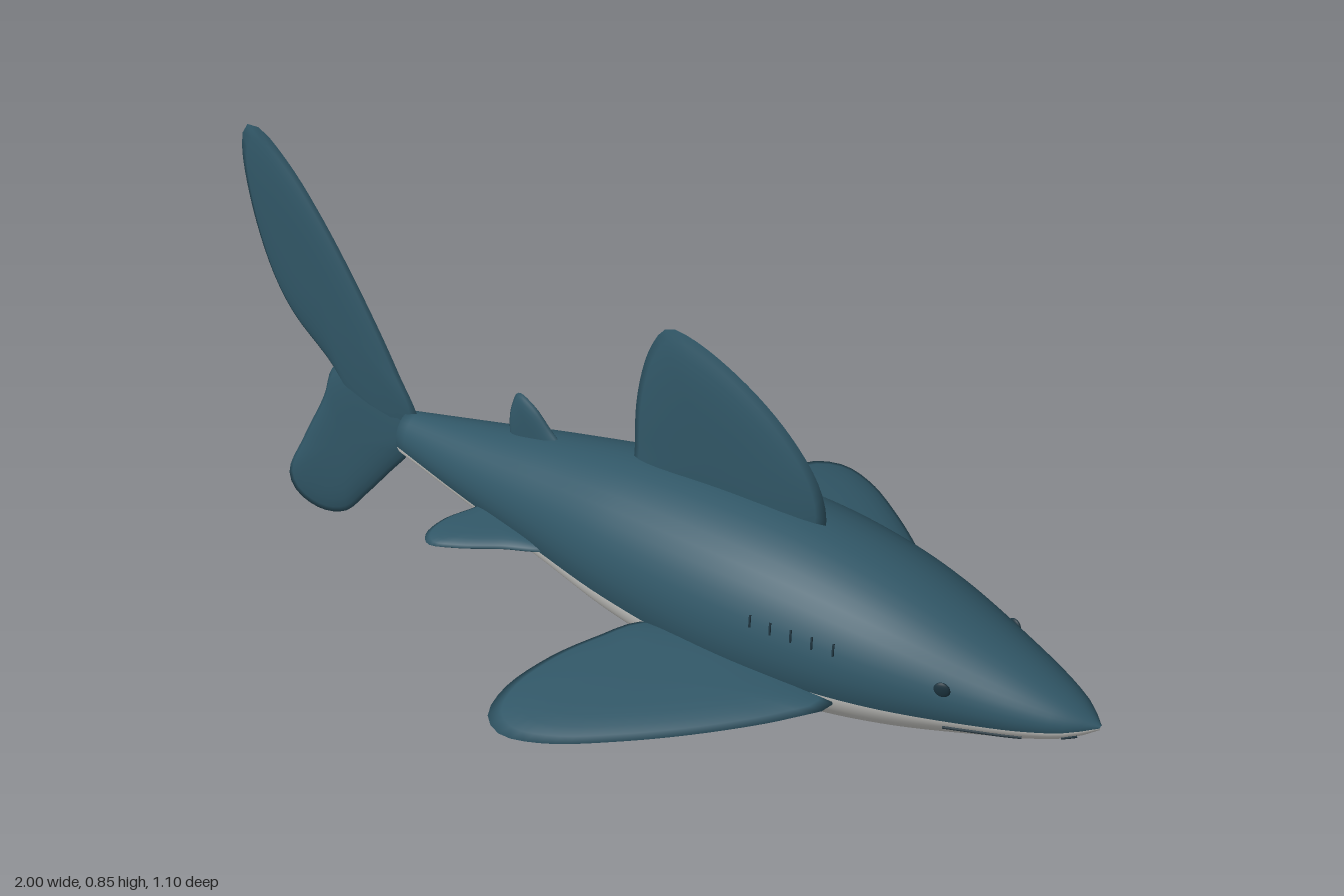
import * as THREE from 'three';

const mat = (name, color) => new THREE.MeshStandardMaterial({ name, color });

// Body stations: x, top y, bottom y, half width, y of the colour seam
const stations = [
  [-0.6, 0.335, 0.24, 0.038, 0.272], [-0.4, 0.378, 0.203, 0.085, 0.256],
  [-0.2, 0.423, 0.163, 0.127, 0.246], [0, 0.46, 0.122, 0.168, 0.238],
  [0.25, 0.479, 0.097, 0.194, 0.234], [0.42, 0.472, 0.107, 0.19, 0.238],
  [0.6, 0.44, 0.143, 0.166, 0.247], [0.8, 0.375, 0.2, 0.11, 0.262],
  [0.9, 0.338, 0.231, 0.074, 0.273], [0.96, 0.312, 0.255, 0.042, 0.281],
  [1, 0.289, 0.281, 0.004, 0.286],
];
const interpolant = new THREE.CubicInterpolant(
  stations.map((s) => s[0]), stations.flatMap((s) => s.slice(1)), 4);

function section(x) {
  const [top, bottom, hz, seam] = interpolant.evaluate(x);
  const cy = (top + bottom) / 2, hy = (top - bottom) / 2;
  return { cy, hy, hz, seam: Math.asin(THREE.MathUtils.clamp((seam - cy) / hy, -0.9, 0.9)) };
}

// Point on the flank of the body at a given x and y
function skin(x, y, side, lift = 0) {
  const { cy, hy, hz } = section(x);
  const c = Math.sqrt(Math.max(0, 1 - ((y - cy) / hy) ** 2));
  return new THREE.Vector3(x, y, side * (hz * c + lift));
}

// Lofted body: back half and belly half share one skin
function bodyGeometry(rows = 64, half = 24) {
  const pos = [], back = [], belly = [], ring = half * 2;
  for (let i = 0; i <= rows; i++) {
    const x = -0.6 + 1.6 * i / rows;
    const { cy, hy, hz, seam } = section(x);
    for (let j = 0; j < ring; j++) {
      const a = j < half
        ? seam + (Math.PI - 2 * seam) * j / half
        : Math.PI - seam + (Math.PI + 2 * seam) * (j - half) / half;
      pos.push(x, cy + hy * Math.sin(a), hz * Math.cos(a));
    }
  }
  for (let i = 0; i < rows; i++) {
    for (let j = 0; j < ring; j++) {
      const k = (j + 1) % ring;
      const a = i * ring + j, b = a + ring, c = (i + 1) * ring + k, d = i * ring + k;
      (j < half ? back : belly).push(a, b, c, a, c, d);
    }
  }
  // Closed tail end
  const centre = pos.length / 3;
  pos.push(-0.6, section(-0.6).cy, 0);
  for (let j = 0; j < ring; j++) back.push(centre, j, (j + 1) % ring);
  const g = new THREE.BufferGeometry();
  g.setAttribute('position', new THREE.Float32BufferAttribute(pos, 3));
  g.setIndex([...back, ...belly]);
  g.addGroup(0, back.length, 0);
  g.addGroup(back.length, belly.length, 1);
  g.computeVertexNormals();
  return g;
}

// Padded fin: smooth outline filled with shrinking rings on both sides
function finGeometry(points, thickness, place) {
  const curve = new THREE.CatmullRomCurve3(
    points.map(([u, v]) => new THREE.Vector3(u, v, 0)), true, 'centripetal');
  const outline = curve.getSpacedPoints(56).slice(0, 56);
  if (THREE.ShapeUtils.area(outline) < 0) outline.reverse();
  const n = outline.length;
  const mid = outline.reduce((m, p) => m.addScaledVector(p, 1 / n), new THREE.Vector3());
  const scales = [0.2, 0.45, 0.65, 0.8, 0.92, 1, 0.92, 0.8, 0.65, 0.45, 0.2];
  const pos = [], index = [];
  scales.forEach((s, r) => {
    const w = (r < 5 ? 1 : -1) * thickness * (1 - s ** 4) ** 0.8;
    for (const p of outline) {
      pos.push(...place(mid.x + (p.x - mid.x) * s, mid.y + (p.y - mid.y) * s, w));
    }
  });
  const front = pos.length / 3, last = (scales.length - 1) * n;
  pos.push(...place(mid.x, mid.y, thickness), ...place(mid.x, mid.y, -thickness));
  for (let j = 0; j < n; j++) {
    const k = (j + 1) % n;
    index.push(front, j, k, front + 1, last + k, last + j);
    for (let r = 0; r < scales.length - 1; r++) {
      const a = r * n + j, b = a + n, c = (r + 1) * n + k, d = r * n + k;
      index.push(a, b, c, a, c, d);
    }
  }
  const g = new THREE.BufferGeometry();
  g.setAttribute('position', new THREE.Float32BufferAttribute(pos, 3));
  g.setIndex(index);
  g.computeVertexNormals();
  return g;
}

export function createModel() {
  const group = new THREE.Group();
  const teal = mat('deep teal', 0x315767);
  const white = mat('belly white', 0xdcdcd8);
  const dark = mat('dark detail', 0x1b323d);
  const add = (name, geometry, material) => {
    const mesh = new THREE.Mesh(geometry, material);
    mesh.name = name;
    group.add(mesh);
    return mesh;
  };

  add('body', bodyGeometry(), [teal, white]);

  // Upright fins on the centre line
  const upright = (u, v, w) => [u, v, w];
  add('dorsalFin', finGeometry([
    [-0.03, 0.38], [-0.037, 0.48], [-0.03, 0.6], [0, 0.71], [0.04, 0.765], [0.1, 0.762],
    [0.22, 0.71], [0.32, 0.635], [0.385, 0.55], [0.4, 0.47], [0.36, 0.4], [0.16, 0.36],
  ], 0.019, upright), teal);
  add('rearDorsalFin', finGeometry([
    [-0.33, 0.36], [-0.34, 0.41], [-0.332, 0.46], [-0.315, 0.49], [-0.28, 0.475],
    [-0.24, 0.435], [-0.2, 0.39], [-0.22, 0.36],
  ], 0.011, upright), teal);
  add('upperTailLobe', finGeometry([
    [-0.57, 0.31], [-0.62, 0.42], [-0.7, 0.56], [-0.8, 0.71], [-0.88, 0.805], [-0.95, 0.858],
    [-0.985, 0.855], [-1, 0.81], [-0.985, 0.68], [-0.94, 0.54], [-0.89, 0.46], [-0.79, 0.37],
    [-0.72, 0.27], [-0.62, 0.24],
  ], 0.016, upright), teal);
  add('lowerTailLobe', finGeometry([
    [-0.6, 0.36], [-0.565, 0.29], [-0.6, 0.235], [-0.65, 0.175], [-0.72, 0.09], [-0.78, 0.025],
    [-0.85, 0.004], [-0.91, 0.022], [-0.928, 0.06], [-0.88, 0.17], [-0.82, 0.29], [-0.79, 0.37],
    [-0.7, 0.42],
  ], 0.014, upright), teal);

  for (const side of [1, -1]) {
    const tag = side > 0 ? 'left' : 'right';

    // Paired side fins, sloping down towards the tips
    const flat = (y, droop, root) => (u, v, w) => [u, y - droop * (v - root) - side * w, side * v];
    add(tag + 'PectoralFin', finGeometry([
      [0.54, 0.17], [0.5, 0.235], [0.4, 0.34], [0.27, 0.45], [0.15, 0.53], [0.07, 0.552],
      [0.02, 0.525], [0, 0.45], [0.02, 0.34], [0.06, 0.25], [0.11, 0.17], [0.3, 0.1],
    ], 0.02, flat(0.232, 0.13, 0.17)), teal);
    add(tag + 'PelvicFin', finGeometry([
      [-0.15, 0.11], [-0.24, 0.16], [-0.32, 0.205], [-0.37, 0.222], [-0.392, 0.2],
      [-0.39, 0.15], [-0.365, 0.1], [-0.34, 0.06], [-0.2, 0.06],
    ], 0.011, flat(0.253, 0.13, 0.1)), teal);

    // Eye: a shallow dome lying on the skin
    const eye = add(tag + 'Eye', new THREE.SphereGeometry(0.016, 20, 12), dark);
    eye.position.copy(skin(0.74, 0.325, side));
    eye.rotation.y = side * 0.25;
    eye.scale.z = 0.35;

    // Thin grooves following the skin
    const groove = (name, x0, y0, x1, y1, r) => {
      const path = new THREE.CatmullRomCurve3([0, 0.25, 0.5, 0.75, 1].map((t) =>
        skin(x0 + (x1 - x0) * t, y0 + (y1 - y0) * t, side)));
      add(tag + name, new THREE.TubeGeometry(path, 10, r, 6), dark);
    };
    for (let i = 0; i < 5; i++) {
      const x = 0.36 + i * 0.043;
      groove('GillSlit' + (i + 1), x, 0.36, x + 0.004, 0.338, 0.0025);
    }
    groove('Mouth', 0.74, 0.238, 0.88, 0.251, 0.004);
    groove('Nostril', 0.945, 0.264, 0.968, 0.268, 0.003);
  }
  return group;
}
